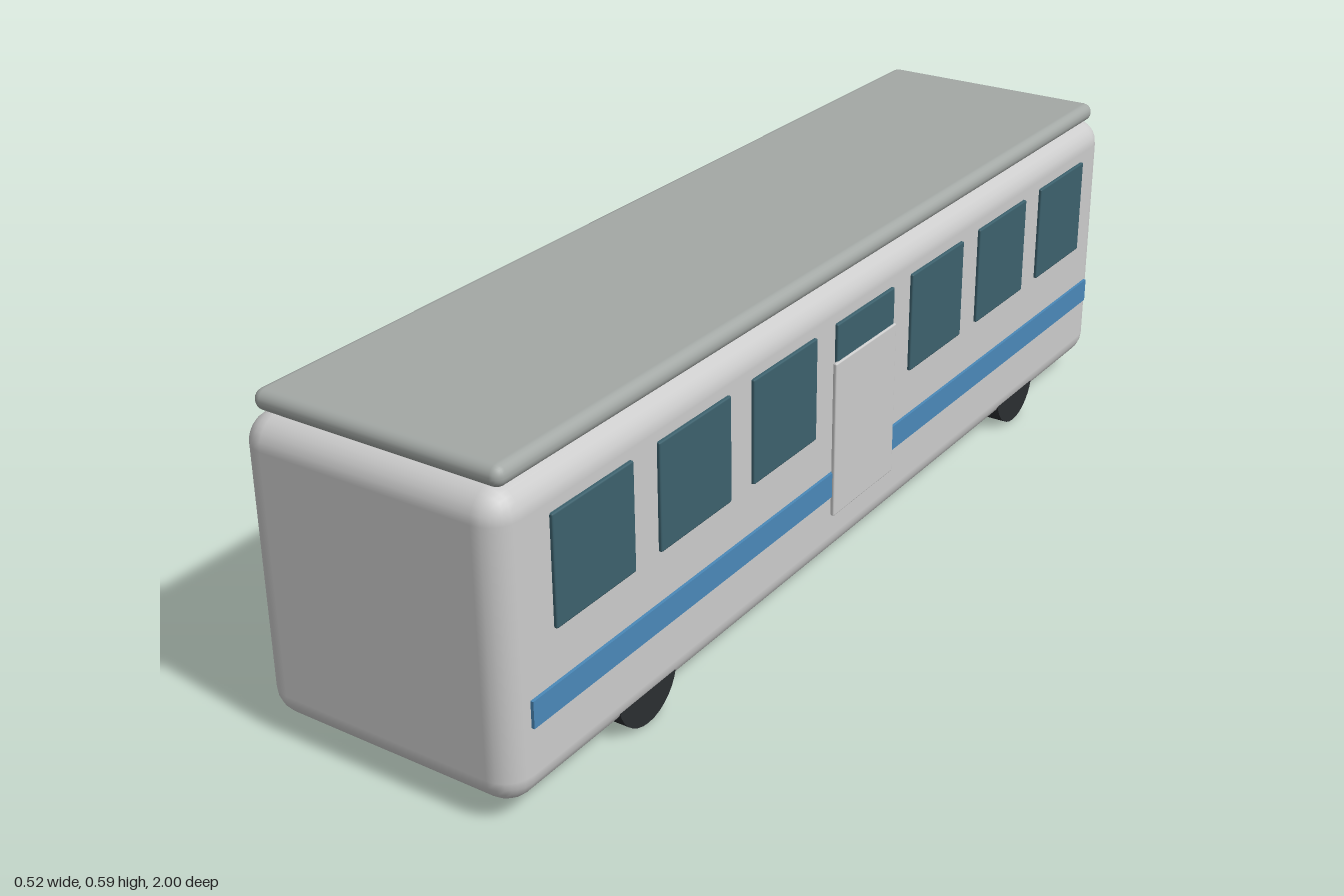
import * as THREE from 'three';
import { RoundedBoxGeometry } from 'three/addons/geometries/RoundedBoxGeometry.js';

const material = (color) => new THREE.MeshStandardMaterial({ color });

export function createModel() {
  const bus = new THREE.Group();
  bus.name = 'bus';

  const grey = material(0xcccccc);
  const roofGrey = material(0xa3a8a5);
  const glass = material(0x3c616d);
  const blue = material(0x4a88b8);
  const rubber = material(0x2b2e31);

  // Box given by its lower and upper limits, optionally rounded
  function block(name, mat, [x0, x1], [y0, y1], [z0, z1], radius = 0, segments = 2) {
    const size = [x1 - x0, y1 - y0, z1 - z0];
    const geometry = radius
      ? new RoundedBoxGeometry(...size, segments, radius)
      : new THREE.BoxGeometry(...size);
    const mesh = new THREE.Mesh(geometry, mat);
    mesh.name = name;
    mesh.position.set((x0 + x1) / 2, (y0 + y1) / 2, (z0 + z1) / 2);
    bus.add(mesh);
    return mesh;
  }

  // Body shell and roof slab
  block('body', grey, [-0.25, 0.25], [0.03, 0.558], [-0.985, 1], 0.05, 3);
  block('roof', roofGrey, [-0.235, 0.235], [0.556, 0.592], [-0.96, 0.975], 0.0175, 3);

  // Rear window
  block('rearWindow', glass, [-0.2, 0.2], [0.24, 0.49], [-1, -0.975], 0.003, 1);

  for (const side of [1, -1]) {
    const label = side > 0 ? 'left' : 'right';
    const span = (inner, outer) => (side > 0 ? [inner, outer] : [-outer, -inner]);

    // Row of side windows
    for (let i = 0; i < 7; i++) {
      const z = 0.79 - i * 0.262;
      block(`${label}Window${i + 1}`, glass, span(0.24, 0.256), [0.3, 0.49], [z - 0.098, z + 0.098], 0.003, 1);
    }

    // Stripe and door
    block(`${label}Stripe`, blue, span(0.24, 0.2555), [0.163, 0.21], [-0.937, 0.95]);
    block(`${label}Door`, grey, span(0.252, 0.26), [0.125, 0.421], [-0.096, 0.112], 0.003, 2);

    // Wheels
    for (const [end, z] of [['Front', 0.655], ['Rear', -0.638]]) {
      const geometry = new THREE.CylinderGeometry(0.078, 0.078, 0.036, 32);
      geometry.rotateZ(Math.PI / 2);
      const wheel = new THREE.Mesh(geometry, rubber);
      wheel.name = `${label}${end}Wheel`;
      wheel.position.set(side * 0.227, 0.078, z);
      bus.add(wheel);
    }
  }

  return bus;
}
